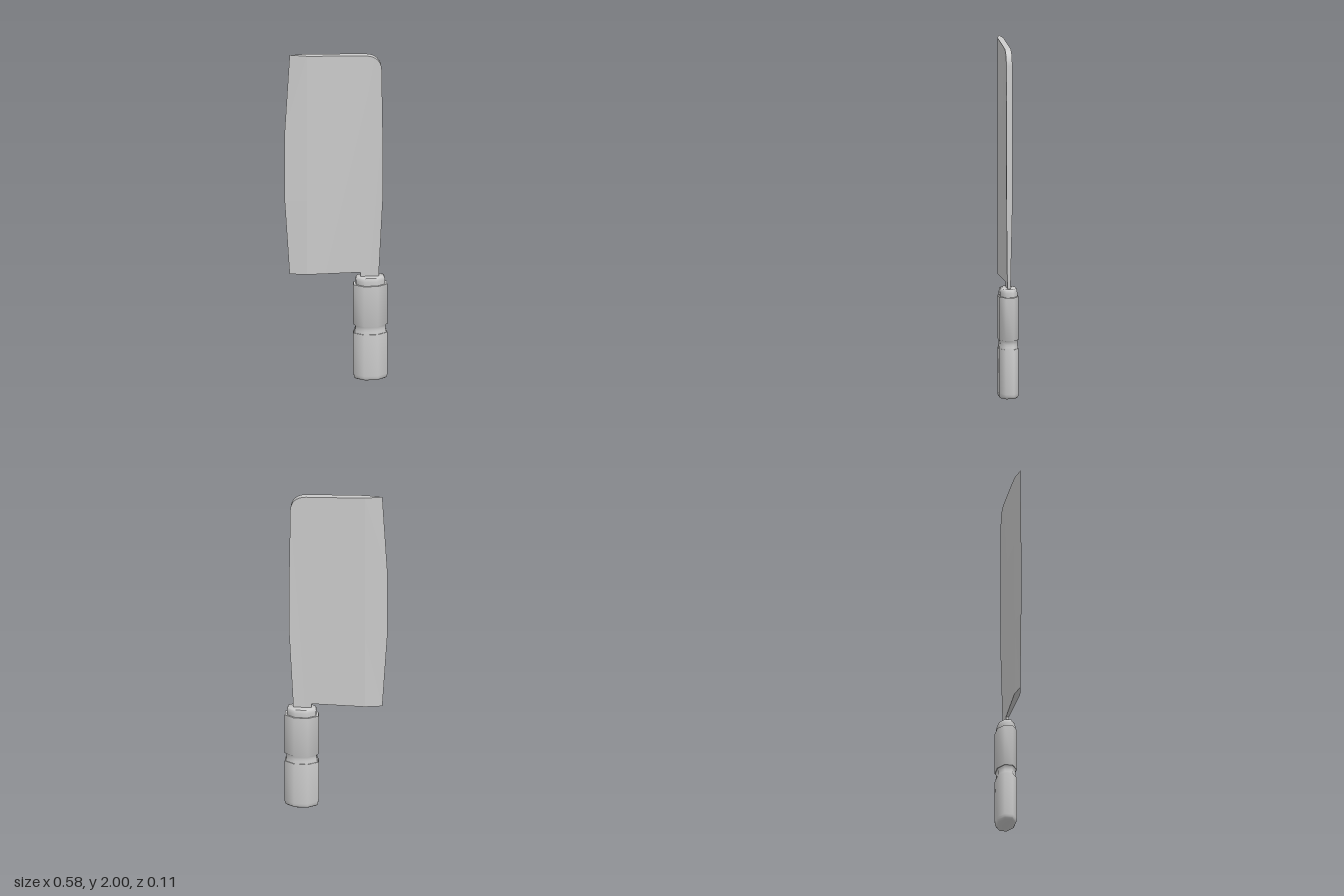
import * as THREE from 'three';
import { toCreasedNormals } from 'three/addons/utils/BufferGeometryUtils.js';

const HALF = 0.017; // half thickness of the blade
const BEVEL_X = -0.165; // where the ground edge begins
const HANDLE_X = 0.195;

// Flat plate with a rounded upper corner, thinning towards the neck
function bladePlate() {
  const s = new THREE.Shape();
  s.moveTo(BEVEL_X, 0.65);
  s.lineTo(0.14, 0.65);
  s.lineTo(0.14, 0.6);
  s.lineTo(0.241, 0.6);
  s.lineTo(0.265, 1.1);
  s.lineTo(0.265, 1.5);
  s.lineTo(0.259, 1.9);
  s.bezierCurveTo(0.257, 1.95, 0.225, 1.985, 0.17, 1.987);
  s.lineTo(BEVEL_X, 1.997);
  const geo = new THREE.ExtrudeGeometry(s, { depth: 2 * HALF, bevelEnabled: false, curveSegments: 8 });
  geo.translate(0, 0, -HALF);
  const p = geo.attributes.position;
  for (let i = 0; i < p.count; i++) {
    if (p.getX(i) > 0.1 && p.getY(i) < 0.7) p.setZ(i, p.getZ(i) * 0.5);
  }
  return toCreasedNormals(geo, 0.5);
}

// Wedge from the plate to the curved cutting edge
function cuttingEdge() {
  const edge = [[-0.262, 0.65], [-0.29, 1.1], [-0.29, 1.53], [-0.262, 2]];
  const pos = [];
  const tri = (...corners) => corners.forEach((c) => pos.push(...c));
  const row = ([x, y]) => {
    const yb = Math.min(y, 1.997);
    return { e: [x, y, 0], f: [BEVEL_X, yb, HALF], b: [BEVEL_X, yb, -HALF] };
  };
  const rows = edge.map(row);
  for (let i = 0; i < rows.length - 1; i++) {
    const a = rows[i], c = rows[i + 1];
    tri(a.e, a.f, c.f);
    tri(a.e, c.f, c.e);
    tri(a.e, c.b, a.b);
    tri(a.e, c.e, c.b);
  }
  const lo = rows[0], hi = rows[rows.length - 1];
  tri(lo.e, lo.b, lo.f);
  tri(hi.e, hi.f, hi.b);
  const geo = new THREE.BufferGeometry();
  geo.setAttribute('position', new THREE.Float32BufferAttribute(pos, 3));
  geo.computeVertexNormals();
  return geo;
}

// Flattened eight-sided grip; profile is [relative size, height]
function grip(profile) {
  const pts = profile.map(([r, y]) => new THREE.Vector2(r, y));
  const geo = new THREE.LatheGeometry(pts, 8, Math.PI / 8);
  const c = Math.cos(Math.PI / 8);
  geo.scale(0.095 / c, 1, 0.056 / c);
  geo.translate(HANDLE_X, 0, 0);
  return toCreasedNormals(geo, 1.15);
}

export function createModel() {
  const model = new THREE.Group();
  const material = new THREE.MeshStandardMaterial({ color: 0xcccccc });
  const add = (name, geo) => {
    const mesh = new THREE.Mesh(geo, material);
    mesh.name = name;
    model.add(mesh);
  };

  add('bladePlate', bladePlate());
  add('cuttingEdge', cuttingEdge());

  // Rounded butt, waist groove, upper grip and collar
  add('handle', grip([
    [0, 0], [0.85, 0], [0.94, 0.006], [0.985, 0.014], [1, 0.028],
    [1, 0.283], [0.95, 0.283], [0.92, 0.295], [0.885, 0.31], [0.9, 0.325],
    [0.95, 0.333], [1, 0.333], [1, 0.58], [0.87, 0.58], [0.87, 0.603],
    [0.845, 0.616], [0.78, 0.625], [0, 0.625],
  ]));

  return model;
}
